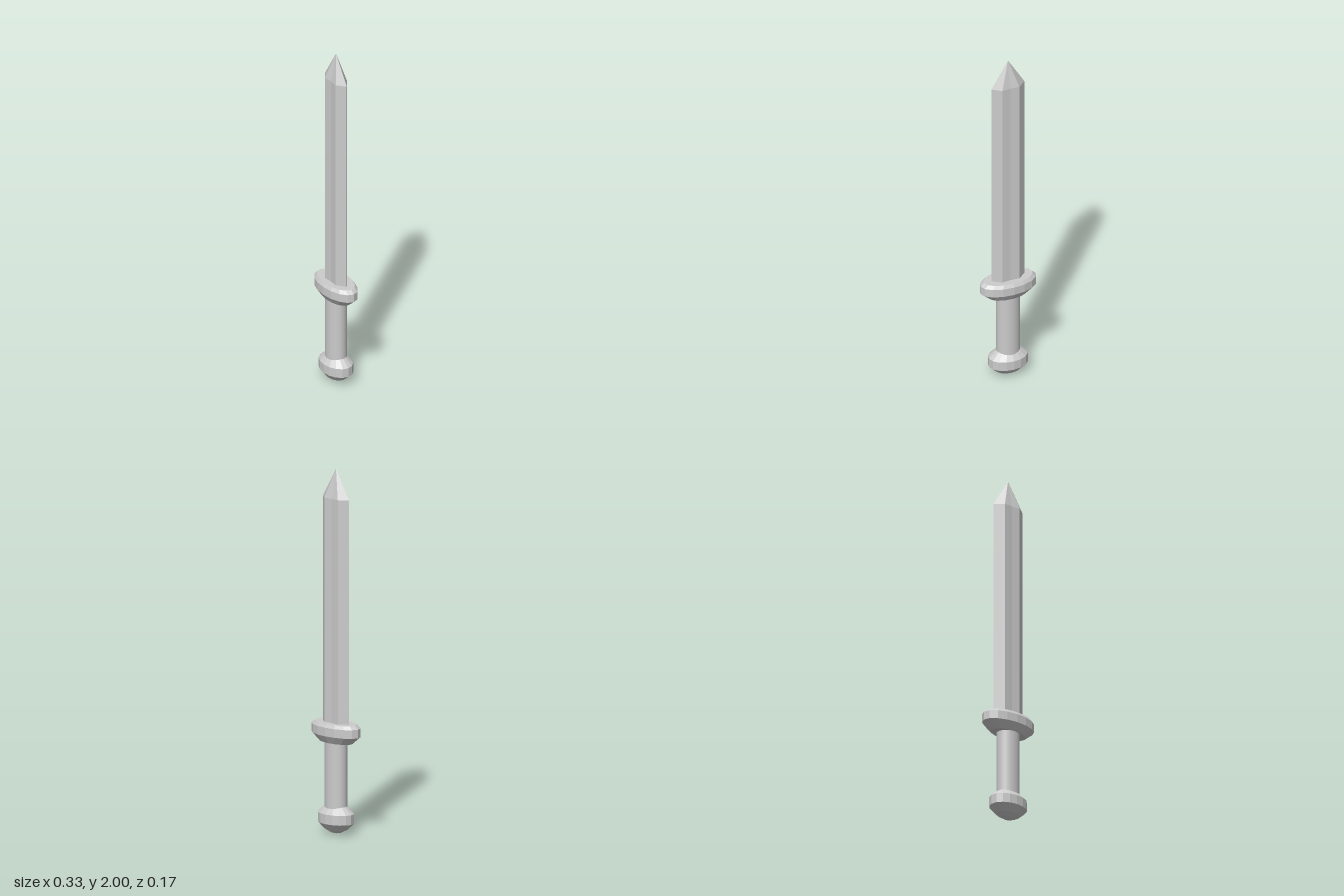
import * as THREE from 'three';

const smooth = new THREE.MeshStandardMaterial({ color: 0xcccccc });
const faceted = new THREE.MeshStandardMaterial({ color: 0xcccccc, flatShading: true });

// Turned part with an oval section; profile is [radius, y] from bottom to top
function ovalLathe(name, profile, sides, depthRatio, material) {
  const points = profile.map(([r, y]) => new THREE.Vector2(r, y));
  const geometry = new THREE.LatheGeometry(points, sides);
  geometry.scale(1, 1, depthRatio);
  const mesh = new THREE.Mesh(geometry, material);
  mesh.name = name;
  return mesh;
}

// Straight blade with a shallow groove down each face and a pointed tip
function makeBlade() {
  const baseY = 0.59, shoulderY = 1.84, tip = [0, 2, 0];
  const section = [
    [0.098, 0], [0.05, 0.038], [0, 0.034], [-0.05, 0.038],
    [-0.098, 0], [-0.05, -0.038], [0, -0.034], [0.05, -0.038],
  ];
  const positions = [];
  section.forEach(([x, z], i) => {
    const [nx, nz] = section[(i + 1) % section.length];
    const a = [x, baseY, z], b = [nx, baseY, nz];
    const c = [x, shoulderY, z], d = [nx, shoulderY, nz];
    positions.push(...a, ...c, ...b, ...b, ...c, ...d, ...c, ...tip, ...d);
  });
  const geometry = new THREE.BufferGeometry();
  geometry.setAttribute('position', new THREE.Float32BufferAttribute(positions, 3));
  geometry.computeVertexNormals();
  const mesh = new THREE.Mesh(geometry, faceted);
  mesh.name = 'blade';
  return mesh;
}

export function createModel() {
  const model = new THREE.Group();
  model.name = 'shortSword';

  model.add(makeBlade());

  // Oval guard, bevelled above and tapered below
  model.add(ovalLathe('guard',
    [[0, 0.503], [0.112, 0.503], [0.163, 0.545], [0.163, 0.592], [0.142, 0.61], [0, 0.61]],
    16, 0.52, faceted));

  // Smooth oval grip
  model.add(ovalLathe('grip', [[0.066, 0.14], [0.066, 0.51]], 32, 0.85, smooth));

  // Faceted pommel with a rounded underside
  model.add(ovalLathe('pommel',
    [[0, 0], [0.035, 0.008], [0.07, 0.025], [0.112, 0.062], [0.112, 0.115], [0.068, 0.153], [0, 0.153]],
    16, 0.72, faceted));

  return model;
}
